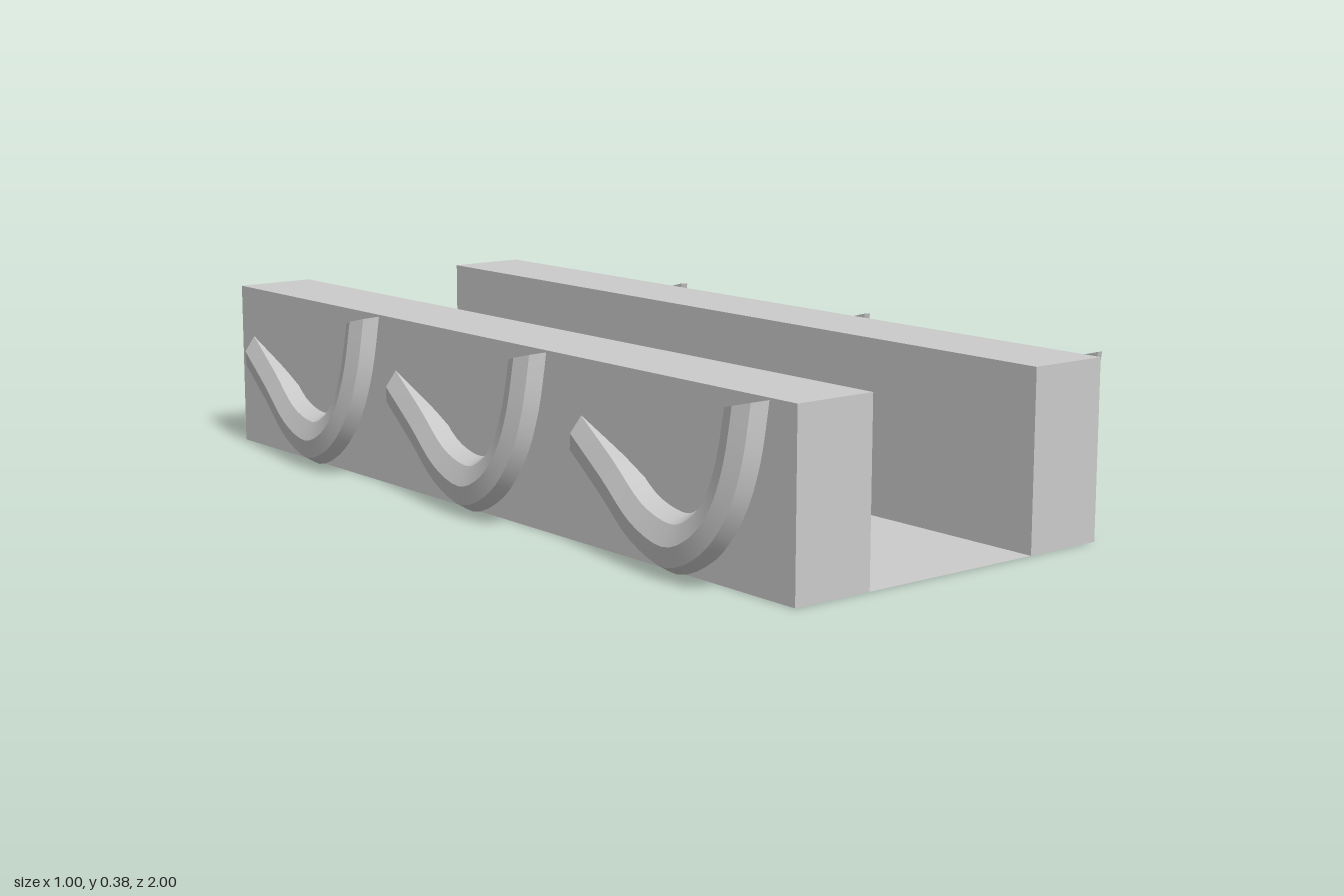
import * as THREE from 'three';
import { toCreasedNormals } from 'three/addons/utils/BufferGeometryUtils.js';

const material = new THREE.MeshStandardMaterial({ color: 0xcccccc });

// Curve through [z, y] points
const curve = pts => new THREE.SplineCurve(pts.map(p => new THREE.Vector2(...p)));

// Outer and inner edges of one hook, from its tall end to its tip
const outer = curve([[0.975, 0.385], [0.965, 0.26], [0.93, 0.15], [0.855, 0.055],
  [0.735, 0], [0.6, 0.03], [0.48, 0.1], [0.355, 0.17]]);
const inner = curve([[0.86, 0.355], [0.85, 0.255], [0.825, 0.18], [0.785, 0.14],
  [0.735, 0.125], [0.64, 0.145], [0.53, 0.21], [0.4, 0.28]]);

// Half-octagon section: position across the band, height off its flat back
const section = [[1, 0], [0.7, 0.7], [0, 1], [-0.7, 0.7], [-1, 0]];

// Faceted hook in a leaning plane, ridge facing outward (side = 1 or -1)
function hookGeometry(side) {
  const steps = 28, n = section.length, depth = 0.045;
  const positions = [], index = [];
  const tri = (a, b, c) => (side > 0 ? index.push(a, b, c) : index.push(a, c, b));
  for (let i = 0; i <= steps; i++) {
    const o = outer.getPoint(i / steps), q = inner.getPoint(i / steps);
    for (const [s, d] of section) {
      const p = q.clone().lerp(o, (s + 1) / 2);
      const lean = 0.11 * (p.y - 0.37) - 0.1 * (p.x - 0.92);
      positions.push(lean + side * d * depth, p.y, p.x);
    }
  }
  for (let i = 0; i < steps; i++) {
    for (let j = 0; j < n; j++) {
      const a = i * n + j, b = i * n + (j + 1) % n;
      tri(a, a + n, b);
      tri(b, a + n, b + n);
    }
  }
  // End caps
  const e = steps * n;
  for (let j = 1; j < n - 1; j++) {
    tri(0, j, j + 1);
    tri(e, e + j + 1, e + j);
  }
  const g = new THREE.BufferGeometry();
  g.setAttribute('position', new THREE.Float32BufferAttribute(positions, 3));
  g.setIndex(index);
  return toCreasedNormals(g, 0.4);
}

export function createModel() {
  const model = new THREE.Group();
  const add = (name, geometry, x, y, z, mat = material) => {
    const mesh = new THREE.Mesh(geometry, mat);
    mesh.name = name;
    mesh.position.set(x, y, z);
    model.add(mesh);
    return mesh;
  };

  // Two long side walls
  const wall = new THREE.BoxGeometry(0.188, 0.38, 2);
  add('leftWall', wall, 0.294, 0.19, 0);
  add('rightWall', wall, -0.336, 0.19, 0);

  // Thin floor sheet between the walls
  const sheet = material.clone();
  sheet.side = THREE.DoubleSide;
  add('floor', new THREE.PlaneGeometry(0.442, 2).rotateX(-Math.PI / 2), -0.021, 0, 0, sheet);

  // Three hooks along the outside of each wall
  const leftHook = hookGeometry(1), rightHook = hookGeometry(-1);
  [0, -0.675, -1.315].forEach((z, i) => add(`leftHook${i + 1}`, leftHook, 0.412, 0, z));
  [-0.035, -0.715, -1.34].forEach((z, i) => {
    add(`rightHook${i + 1}`, rightHook, -0.44, 0.008, z).scale.y = 0.965;
  });

  return model;
}
